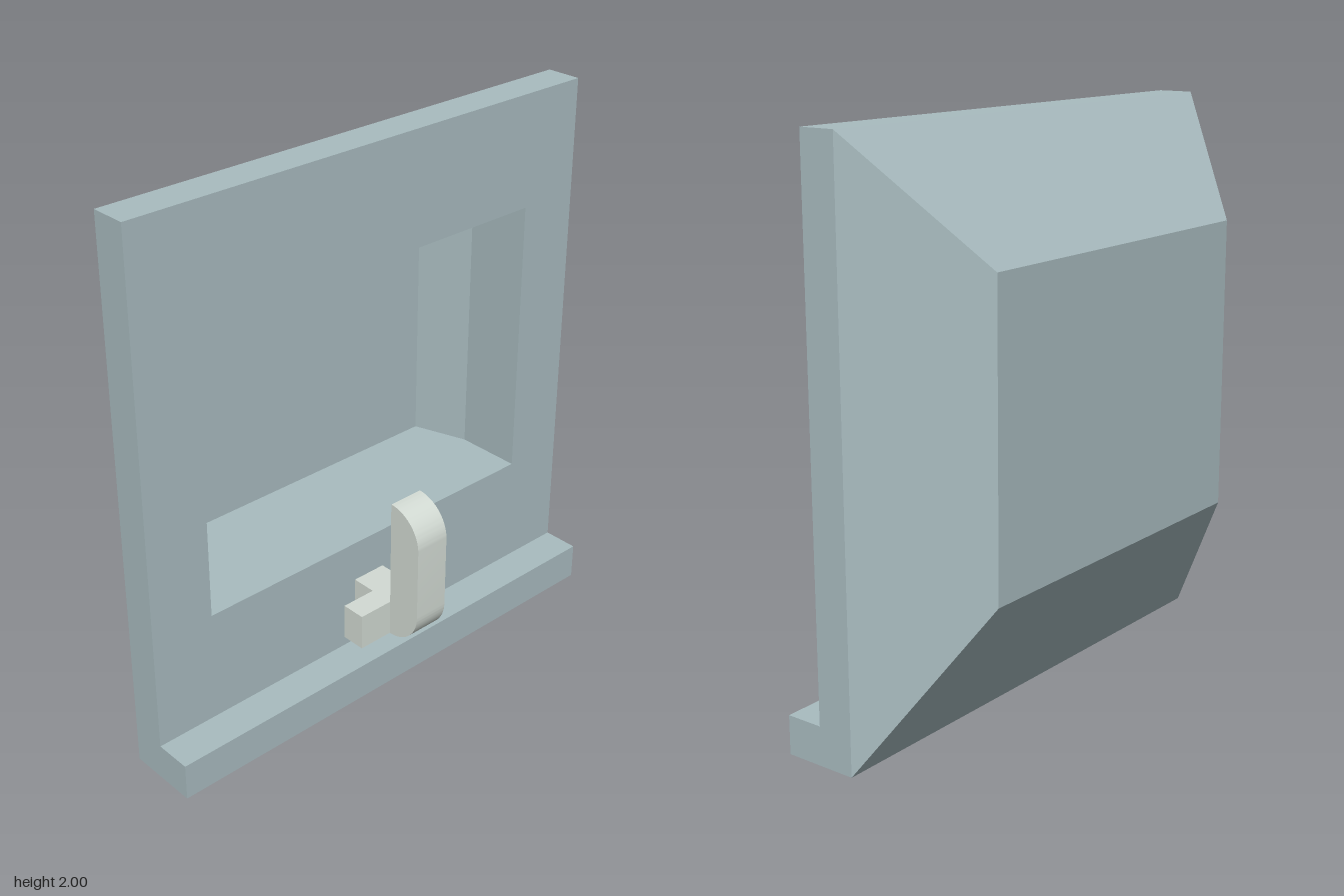
import * as THREE from 'three';
import { toCreasedNormals } from 'three/addons/utils/BufferGeometryUtils.js';

// Closed skin through rectangular rings [halfWidth, bottom, top, z], capped at both ends
function loftRings(rings) {
  const pos = [];
  const loops = rings.map(([w, y0, y1, z]) => [[-w, y0, z], [w, y0, z], [w, y1, z], [-w, y1, z]]);
  const quad = (a, b, c, d) => pos.push(...a, ...b, ...c, ...a, ...c, ...d);
  for (let r = 0; r < loops.length - 1; r++) {
    const a = loops[r], b = loops[r + 1];
    for (let i = 0; i < 4; i++) {
      const j = (i + 1) % 4;
      quad(a[i], b[i], b[j], a[j]);
    }
  }
  quad(...loops[0]);
  quad(...loops[loops.length - 1].slice().reverse());
  const geo = new THREE.BufferGeometry();
  geo.setAttribute('position', new THREE.Float32BufferAttribute(pos, 3));
  geo.computeVertexNormals();
  return geo;
}

function box(x0, x1, y0, y1, z0, z1) {
  return new THREE.BoxGeometry(x1 - x0, y1 - y0, z1 - z0)
    .translate((x0 + x1) / 2, (y0 + y1) / 2, (z0 + z1) / 2);
}

export function createModel() {
  const group = new THREE.Group();
  const bodyMat = new THREE.MeshStandardMaterial({ color: 0xa9bcc0 });
  const hookMat = new THREE.MeshStandardMaterial({ color: 0xd3dbd4 });
  const add = (name, geo, mat) => {
    const mesh = new THREE.Mesh(geo, mat);
    mesh.name = name;
    group.add(mesh);
  };

  // Housing: recess floor, tapered and straight recess walls, front face, slab edge, sloped back
  add('housing', loftRings([
    [0.65, 0.55, 1.587, -0.37],
    [0.718, 0.55, 1.587, -0.167],
    [0.718, 0.55, 1.587, 0.083],
    [0.955, 0, 2, 0.083],
    [0.955, 0, 2, -0.048],
    [0.652, 0.55, 1.587, -0.395],
  ]), bodyMat);

  // Ledge along the bottom of the front
  add('ledge', box(-0.955, 0.955, 0, 0.136, 0.083, 0.218), bodyMat);

  // Hook: stem and upright with rounded outer corners, profile drawn in z and y
  const r = 0.133, zIn = 0.264, y0 = 0.263, y1 = 0.795;
  const profile = new THREE.Shape();
  profile.moveTo(0.083, y0);
  profile.lineTo(zIn, y0);
  profile.absarc(zIn, y0 + r, r, -Math.PI / 2, 0, false);
  profile.lineTo(zIn + r, y1 - r);
  profile.absarc(zIn, y1 - r, r, 0, Math.PI / 2, false);
  profile.lineTo(zIn, y0 + r);
  profile.lineTo(0.083, y0 + r);
  profile.closePath();
  const hook = new THREE.ExtrudeGeometry(profile, { depth: 0.133, bevelEnabled: false, curveSegments: 16 })
    .rotateY(-Math.PI / 2).translate(0.049, 0, 0);
  add('hook', toCreasedNormals(hook, 0.5), hookMat);

  // Crossbar through the stem
  add('crossbar', box(-0.217, 0.182, y0, y0 + r, 0.175, zIn), hookMat);

  return group;
}
